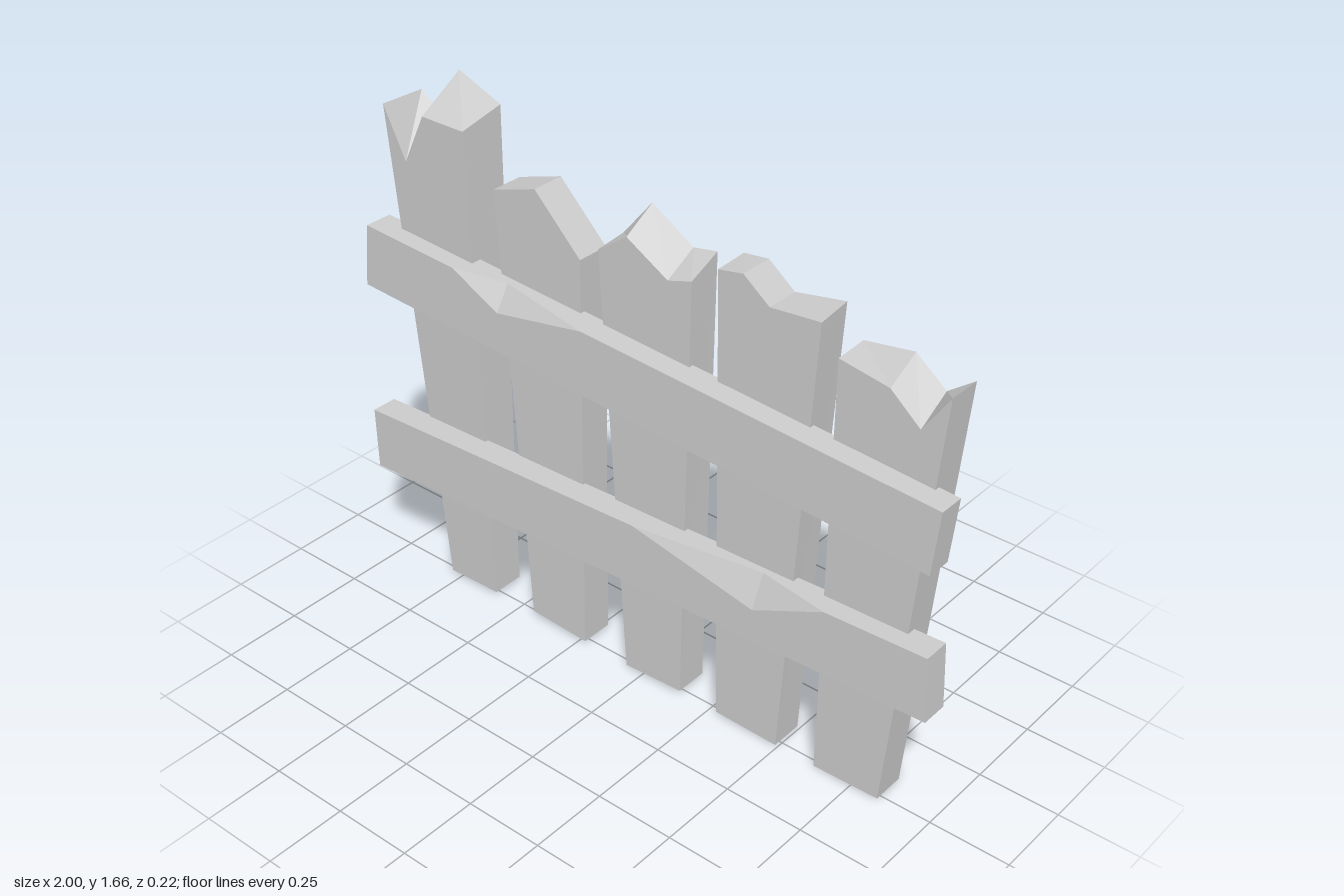
import * as THREE from 'three';

const lerp = THREE.MathUtils.lerp;
const material = new THREE.MeshStandardMaterial({ color: 0xcccccc, flatShading: true });

// Skin a row of rings (ordered along +x, each counter-clockwise seen from +x) and close both ends.
function loft(name, rings) {
  const pos = [];
  const tri = (a, b, c) => {
    const t = new THREE.Triangle(...[a, b, c].map((p) => new THREE.Vector3(...p)));
    if (t.getArea() > 1e-7) pos.push(...a, ...b, ...c);
  };
  const n = rings[0].length;
  for (let i = 0; i < rings.length - 1; i++) {
    for (let j = 0; j < n; j++) {
      const k = (j + 1) % n;
      const [a, b, c, d] = [rings[i][j], rings[i][k], rings[i + 1][k], rings[i + 1][j]];
      tri(a, b, c);
      tri(a, c, d);
    }
  }
  const first = rings[0], last = rings[rings.length - 1];
  for (let j = 1; j < n - 1; j++) {
    tri(first[0], first[j + 1], first[j]);
    tri(last[0], last[j], last[j + 1]);
  }
  const geo = new THREE.BufferGeometry();
  geo.setAttribute('position', new THREE.Float32BufferAttribute(pos, 3));
  geo.computeVertexNormals();
  const mesh = new THREE.Mesh(geo, material);
  mesh.name = name;
  return mesh;
}

// Upright board: foot = [x0, y0, x1, y1]; top = [x, y at front, y at back] along the broken edge.
function picket(name, { foot, top, zFront = [0.02, 0.02], zBack = [-0.085, -0.085] }) {
  const [x0, y0, x1, y1] = foot;
  const left = top[0][0], right = top[top.length - 1][0];
  const height = Math.max(...top.map((p) => p[2]));
  const rings = top.map(([x, yf, yb]) => {
    const t = (x - left) / (right - left);
    const bx = lerp(x0, x1, t), by = lerp(y0, y1, t);
    return [
      [bx, by, zFront[0]],
      [bx, by, zBack[0]],
      [x, yb, lerp(zBack[0], zBack[1], yb / height)],
      [x, yf, lerp(zFront[0], zFront[1], yf / height)],
    ];
  });
  return loft(name, rings);
}

// Cross board with a chip knocked out of its upper front edge.
// Ends: [bottom x, bottom y, top x, top y, front z, back z]; chip: start x, end x, deepest point.
function rail(name, { left, right, chip }) {
  const section = (t, low, inset) => {
    const [bx, by, tx, ty, zf, zb] = left.map((v, i) => lerp(v, right[i], t));
    return [
      [bx, by, zf],
      [bx, by, zb],
      [tx, ty, zb],
      [tx, ty, zf - inset],
      [tx, ty - low, zf],
    ];
  };
  const at = (x) => (x - left[2]) / (right[2] - left[2]);
  return loft(name, [
    section(0, 0, 0),
    section(at(chip.from), 0, 0),
    section(at(chip.x), chip.drop, chip.inset),
    section(at(chip.to), 0, 0),
    section(1, 0, 0),
  ]);
}

export function createModel() {
  const fence = new THREE.Group();
  fence.name = 'brokenFence';

  // Pickets, from -x to +x
  const pickets = [
    {
      foot: [-0.79, 0.005, -0.6, 0.01],
      top: [[-0.93, 1.565, 1.56], [-0.855, 1.41, 1.5], [-0.775, 1.57, 1.66], [-0.62, 1.57, 1.6]],
      zFront: [0.02, 0.045],
      zBack: [-0.085, -0.108],
    },
    {
      foot: [-0.44, 0.015, -0.23, 0.005],
      top: [[-0.535, 1.415, 1.415], [-0.38, 1.465, 1.465], [-0.22, 1.305, 1.305]],
    },
    {
      foot: [-0.065, 0, 0.14, 0.01],
      top: [[-0.155, 1.36, 1.37], [-0.055, 1.43, 1.49], [0.085, 1.35, 1.405], [0.165, 1.375, 1.42]],
    },
    {
      foot: [0.275, 0.005, 0.49, 0],
      top: [[0.25, 1.44, 1.445], [0.33, 1.455, 1.455], [0.415, 1.39, 1.39], [0.575, 1.405, 1.42]],
    },
    {
      foot: [0.625, 0, 0.84, 0.005],
      top: [[0.63, 1.325, 1.33], [0.785, 1.3, 1.355], [0.88, 1.22, 1.28], [0.96, 1.34, 1.34]],
    },
  ];
  pickets.forEach((p, i) => fence.add(picket(`picket${i + 1}`, p)));

  // Cross rails nailed to the front
  fence.add(rail('upperRail', {
    left: [-1, 0.99, -0.98, 1.19, 0.095, 0.005],
    right: [0.98, 0.865, 1, 1.065, 0.085, 0.005],
    chip: { from: -0.64, x: -0.47, to: -0.16, drop: 0.075, inset: 0.047 },
  }));
  fence.add(rail('lowerRail', {
    left: [-0.995, 0.36, -1, 0.56, 0.108, 0.025],
    right: [1, 0.4, 0.99, 0.605, 0.075, -0.01],
    chip: { from: 0.02, x: 0.44, to: 0.67, drop: 0.1, inset: 0.045 },
  }));
  return fence;
}
